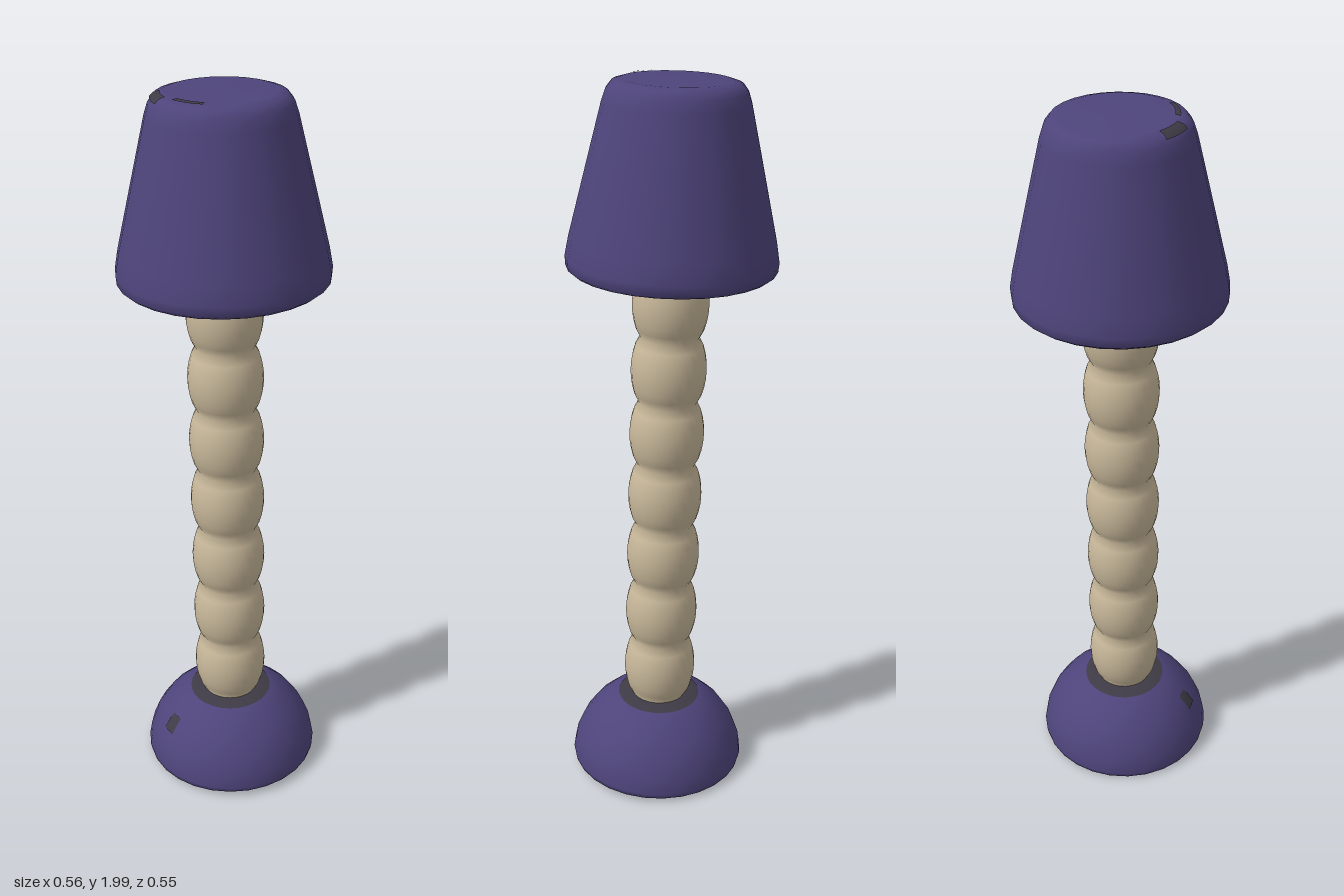
import * as THREE from 'three';

function flat(name, color) {
  const material = new THREE.MeshStandardMaterial({ color });
  material.name = name;
  return material;
}
const purple = flat('purple', 0x4e447b);
const beige = flat('beige', 0xc8b89a);
const darkGrey = flat('dark grey', 0x3f3b46);

// Turned part from [radius, height] pairs, listed bottom to top on the outside;
// start and sweep limit it to a sector measured from the front
function turned(name, points, material, segments = 28, start = 0, sweep = Math.PI * 2) {
  const profile = points.map(([r, y]) => new THREE.Vector2(r, y));
  const mesh = new THREE.Mesh(new THREE.LatheGeometry(profile, segments, start, sweep), material);
  mesh.name = name;
  return mesh;
}

export function createModel() {
  const lamp = new THREE.Group();
  lamp.name = 'tableLamp';

  // Domed foot with a flat underside
  lamp.add(turned('base', [
    [0, 0.012], [0.235, 0.012], [0.235, 0.012], [0.247, 0.016], [0.25, 0.03], [0.243, 0.07],
    [0.225, 0.115], [0.195, 0.16], [0.155, 0.197], [0.12, 0.217], [0.09, 0.225], [0, 0.225],
  ], purple));

  // Dark collar where the stem meets the foot, and a dark spot on the dome
  lamp.add(turned('baseCollar', [[0.118, 0.22], [0.09, 0.228], [0.07, 0.228]], darkGrey));
  lamp.add(turned('baseSpot', [[0.216, 0.133], [0.197, 0.162], [0.184, 0.174]],
    darkGrey, 4, -0.67, 0.2));

  // Stem of seven rounded beads
  const beads = 7, bottom = 0.228, pitch = 0.184, steps = 8;
  const stemPoints = [[0.084, 0.2]];
  for (let i = 0; i <= beads * steps; i++) {
    const bulge = Math.abs(Math.sin((i / steps) * Math.PI)) ** 0.7;
    stemPoints.push([0.079 + 0.023 * bulge, bottom + (i / steps) * pitch]);
  }
  stemPoints.push([0.082, 1.56]);
  lamp.add(turned('beadedStem', stemPoints, beige));

  // Tapered shade with a closed top and a shallow recess underneath
  lamp.add(turned('shade', [
    [0, 1.535], [0.2, 1.532], [0.245, 1.518], [0.245, 1.518], [0.264, 1.516], [0.275, 1.525],
    [0.277, 1.55], [0.268, 1.6], [0.23, 1.76], [0.187, 1.94], [0.177, 1.97], [0.163, 1.988],
    [0.14, 1.995], [0, 1.997],
  ], purple));

  // Dark ring around the stem under the shade
  lamp.add(turned('shadeUnderRing', [[0.07, 1.531], [0.15, 1.53]], darkGrey));

  // Dark scuffs on the top shoulder of the shade
  lamp.add(turned('sideScuff', [[0.172, 1.982], [0.163, 1.991], [0.146, 1.996]],
    darkGrey, 6, -1.15, 0.5));
  lamp.add(turned('frontScuff', [[0.146, 1.996], [0.133, 1.998]], darkGrey, 6, -0.42, 0.6));

  // The whole lamp leans slightly
  lamp.position.set(0.032, 0, 0.025);
  lamp.rotation.set(-0.017, 0, 0.025);

  const model = new THREE.Group();
  model.name = 'model';
  model.add(lamp);
  return model;
}
